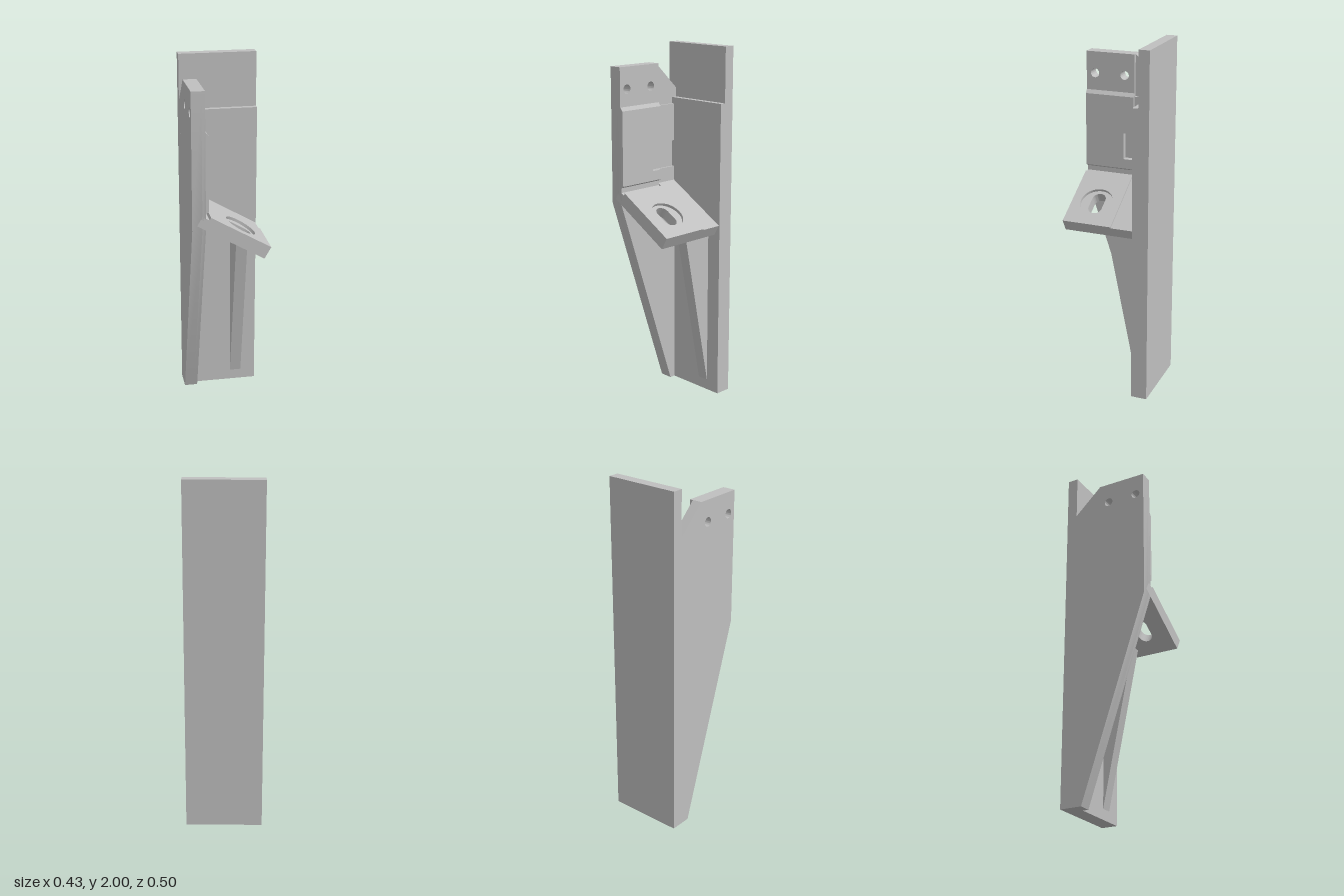
import * as THREE from 'three';
import { toCreasedNormals } from 'three/addons/utils/BufferGeometryUtils.js';

const material = new THREE.MeshStandardMaterial({ color: 0xbfbfbf });
material.name = 'plain grey';

const circle = (x, y, r) => new THREE.Path().absarc(x, y, r, 0, Math.PI * 2, true);

function extrude(points, depth, holes = []) {
  const shape = new THREE.Shape(points.map(([x, y]) => new THREE.Vector2(x, y)));
  shape.holes.push(...holes);
  const geo = new THREE.ExtrudeGeometry(shape, { depth, bevelEnabled: false, curveSegments: 24 });
  return toCreasedNormals(geo, 0.5);
}

const rect = (a0, a1, b0, b1) => [[a0, b0], [a1, b0], [a1, b1], [a0, b1]];

export function createModel() {
  const model = new THREE.Group();
  const add = (name, geo, parent = model) => {
    const mesh = new THREE.Mesh(geo, material);
    mesh.name = name;
    parent.add(mesh);
  };
  // Profile in (z, y), extruded from x0 to x1
  const sideways = (points, x0, x1, holes) =>
    extrude(points, x1 - x0, holes).rotateY(-Math.PI / 2).translate(x1, 0, 0);

  // Back plate with a thinner top section
  add('backPlate', sideways(
    [[-0.25, 0], [-0.158, 0], [-0.158, 1.695], [-0.19, 1.695], [-0.19, 2], [-0.25, 2]],
    -0.217, 0.215));

  // Side wall: outer skin, then the inner layer with its recesses
  const screwHoles = () => [circle(0.2, 1.775, 0.025), circle(0.025, 1.775, 0.025)];
  add('sideWall', sideways(
    [[-0.2, 0], [-0.125, 0], [0.25, 1.14], [0.25, 1.895], [-0.033, 1.895], [-0.19, 1.745], [-0.2, 1.745]],
    -0.217, -0.162, screwHoles()));
  add('sideWallInner', sideways(
    [[-0.2, 0], [-0.125, 0], [0.25, 1.14], [0.25, 1.895], [-0.033, 1.895], [-0.033, 1.45],
      [0.025, 1.45], [0.025, 1.3], [-0.033, 1.3], [-0.033, 1.15], [-0.2, 1.15]],
    -0.162, -0.143, screwHoles()));
  for (const [y0, y1] of [[1.14, 1.3], [1.45, 1.66]]) {
    add('recessPad', sideways(rect(-0.18, -0.033, y0, y1), -0.162, -0.147));
  }

  // Raised lining on the wall, chamfered at top and bottom, split around the window pocket
  const lining = (name, z0, z1, points) => add(name, extrude(points, z1 - z0).translate(0, 0, z0));
  const top = [[-0.127, 1.66], [-0.143, 1.68]];
  const bottom = [[-0.143, 1.235], [-0.127, 1.245]];
  lining('wallLining', 0.025, 0.25, [...bottom, ...top]);
  lining('wallLiningUpper', -0.033, 0.025, [[-0.143, 1.45], [-0.127, 1.45], ...top]);
  lining('wallLiningLower', -0.033, 0.025, [...bottom, [-0.127, 1.3], [-0.143, 1.3]]);

  // Sloping shelf, built flat from its outer top edge; its profile runs in (slope, -z)
  const shelf = new THREE.Group();
  shelf.name = 'shelf';
  shelf.position.set(0.215, 1.02, 0);
  shelf.rotation.z = -Math.PI / 6;
  model.add(shelf);
  const layer = (name, points, n0, n1, holes) =>
    add(name, extrude(points, n1 - n0, holes).rotateX(-Math.PI / 2).translate(0, n0, 0), shelf);
  const u = -0.164, w = -0.107, r = 0.039, h = 0.0325;
  const slot = new THREE.Path();
  slot.absarc(u + h, w, r, -Math.PI / 2, Math.PI / 2, false);
  slot.absarc(u - h, w, r, Math.PI / 2, Math.PI * 1.5, false);
  slot.closePath();
  layer('shelfBase', rect(-0.425, 0, -0.25, 0.17), -0.075, -0.016, [slot]);
  layer('shelfTop', rect(-0.381, 0, -0.25, 0.033), -0.016, 0, [circle(u, w, 0.092)]);
  layer('shelfLoweredTop', rect(-0.425, 0, 0.033, 0.17), -0.016, -0.008);

  // Tapered rib under the shelf
  add('supportRib', sideways([[-0.17, 0.06], [-0.158, 0.06], [0.025, 0.975], [-0.17, 0.975]], 0.065, 0.13));

  return model;
}
